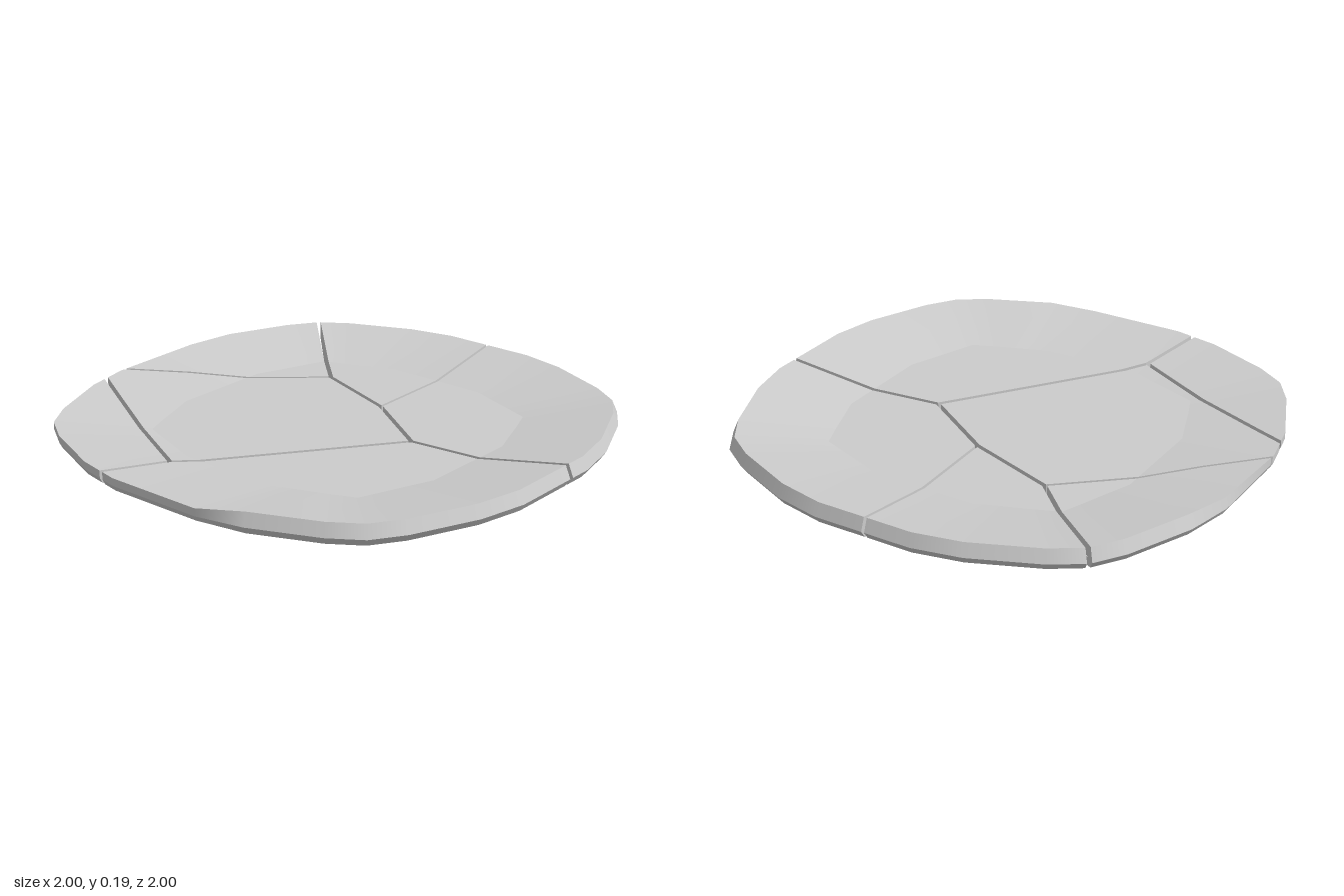
import * as THREE from 'three';

// Rim and floor outlines: one quadrant, repeated four times
const RIM = [[1, .2], [.96, .39], [.85, .65], [.77, .77], [.65, .85], [.39, .96], [.2, 1]];
const FLOOR = [[.62, .21], [.583, .307], [.547, .407], [.51, .505], [.407, .547], [.307, .583], [.21, .62]];
const around = (q) => [0, 1, 2, 3].flatMap((k) => q.map(([x, z]) => {
  for (let i = 0; i < k; i++) [x, z] = [-z, x];
  return [x, z];
}));
const N = RIM.length * 4;

// Vertices are [x, y, z, middleY, nx, ny, nz]; middleY splits the broken walls
function ring(outline, scale, y, mid) {
  return around(outline).map(([x, z], i) => {
    const s = typeof scale === 'function' ? scale(i) : scale;
    return [x * s, typeof y === 'function' ? y(i) : y, z * s, mid];
  });
}

// The rim is blunt and a little lower around the front left
const blunt = (i) => (i >= 6 && i <= 13 ? 1 : i === 14 ? .5 : 0);
const rings = [
  ring(FLOOR, 1, .13, .065),
  ring(RIM, (i) => .98 + .02 * blunt(i), (i) => .19 - .02 * blunt(i), .14),
  ring(RIM, 1, .14, .14),
  ring(RIM, (i) => .98 + .01 * blunt(i), (i) => .11 + .01 * blunt(i), .14),
  ring(FLOOR, 1, 0, .065),
];

// Plate skin as polygons: floor, sloped bands with smooth normals, base
function plateFaces() {
  const faces = [
    rings[0].map((p) => [...p, 0, 1, 0]).reverse(),
    rings[4].map((p) => [...p, 0, -1, 0]),
  ];
  const vec = (p) => new THREE.Vector3(p[0], p[1], p[2]);
  for (let k = 0; k < 4; k++) {
    const A = rings[k], B = rings[k + 1];
    const normals = A.map((p, i) => {
      const j = (i + 1) % N, h = (i + N - 1) % N;
      const across = vec(A[j]).add(vec(B[j])).sub(vec(A[h])).sub(vec(B[h]));
      return across.cross(vec(B[i]).sub(vec(p))).normalize().toArray();
    });
    for (let i = 0; i < N; i++) {
      const j = (i + 1) % N;
      const a = [...A[i], ...normals[i]], b = [...A[j], ...normals[j]];
      const c = [...B[j], ...normals[j]], d = [...B[i], ...normals[i]];
      faces.push([a, b, c], [a, c, d]);
    }
  }
  return faces;
}

// Cracks as lines in plan, and the shards between them
const P1 = [-.36, -.375], P2 = [.01, -.243], P3 = [.33, -.03], P4 = [-.21, .708];
const CRACKS = [
  [P1, [-.77, -.77]], [P1, [-1, .18]], [P1, P2], [P2, [-.006, -1]], [P2, P3],
  [P3, [1, -.098]], [P3, P4], [P4, [-.275, .97]], [P4, [-.97, .31]],
];
const SHARDS = [
  ['backLeftShard', [0, 1], [-.8, -.3]],
  ['backShard', [0, 2, 3], [-.3, -.7]],
  ['backRightShard', [3, 4, 5], [.5, -.5]],
  ['frontShard', [5, 6, 7], [.5, .5]],
  ['frontCornerShard', [7, 8], [-.65, .7]],
  ['middleShard', [1, 2, 4, 6, 8], [-.2, .2]],
];

// Half-plane on the shard's side of a crack, set back by half the gap
function cut(index, seed) {
  const [[ax, az], [bx, bz]] = CRACKS[index];
  const len = Math.hypot(bx - ax, bz - az);
  let nx = (bz - az) / len, nz = -(bx - ax) / len;
  if ((seed[0] - ax) * nx + (seed[1] - az) * nz < 0) { nx = -nx; nz = -nz; }
  const gap = index === 3 || index === 1 ? .006 : .009;
  return { nx, nz, dist: (p) => (p[0] - ax) * nx + (p[2] - az) * nz - gap };
}

function clip(poly, plane) {
  const out = [];
  poly.forEach((p, i) => {
    const q = poly[(i + 1) % poly.length];
    const dp = plane.dist(p), dq = plane.dist(q);
    if (dp >= 0) out.push(p);
    if (dp * dq < 0) out.push(p.map((v, k) => v + (q[k] - v) * dp / (dp - dq)));
  });
  return out;
}

function shardGeometry(faces, planes) {
  const pos = [], nor = [];
  const add = (poly, normal) => {
    for (let i = 1; i < poly.length - 1; i++) {
      for (const p of [poly[0], poly[i], poly[i + 1]]) {
        pos.push(p[0], p[1], p[2]);
        nor.push(...(normal || p.slice(4)));
      }
    }
  };
  for (const face of faces) {
    const poly = planes.reduce(clip, face);
    if (poly.length < 3) continue;
    add(poly);
    // Broken walls, from the skin to the middle of the thickness
    poly.forEach((p, i) => {
      const q = poly[(i + 1) % poly.length];
      for (const w of planes) {
        if (Math.abs(w.dist(p)) > 1e-7 || Math.abs(w.dist(q)) > 1e-7) continue;
        add([q, p, [p[0], p[3], p[2]], [q[0], q[3], q[2]]], [-w.nx, 0, -w.nz]);
      }
    });
  }
  const g = new THREE.BufferGeometry();
  g.setAttribute('position', new THREE.Float32BufferAttribute(pos, 3));
  g.setAttribute('normal', new THREE.Float32BufferAttribute(nor, 3));
  return g;
}

export function createModel() {
  const group = new THREE.Group();
  group.name = 'brokenPlate';
  const ceramic = new THREE.MeshStandardMaterial({ color: 0xcccccc });
  ceramic.name = 'paleGreyCeramic';
  const faces = plateFaces();
  for (const [name, cracks, seed] of SHARDS) {
    const mesh = new THREE.Mesh(shardGeometry(faces, cracks.map((c) => cut(c, seed))), ceramic);
    mesh.name = name;
    group.add(mesh);
  }
  return group;
}
